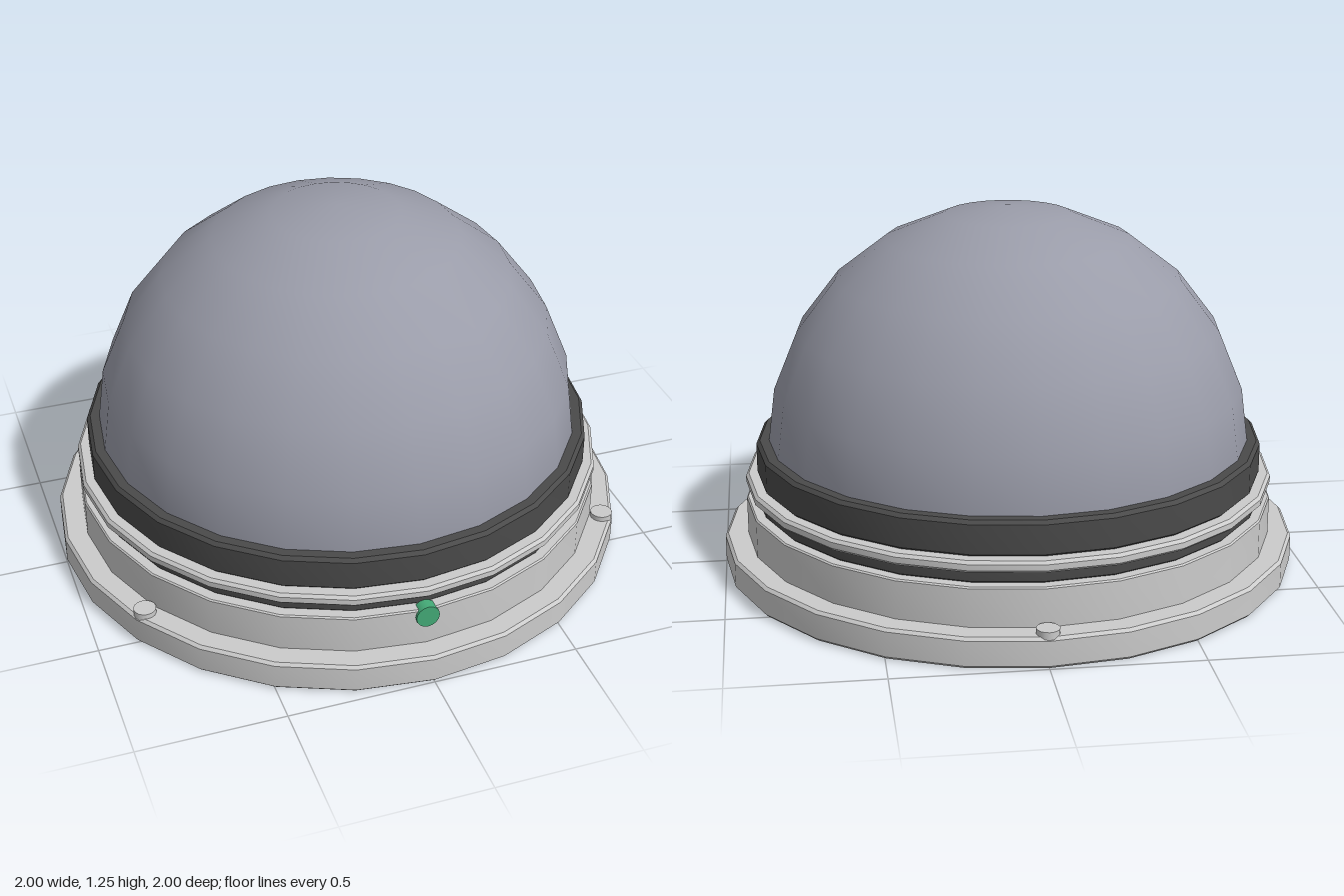
import * as THREE from 'three';
import { toCreasedNormals } from 'three/addons/utils/BufferGeometryUtils.js';

const SIDES = 24;
const mat = (color) => new THREE.MeshStandardMaterial({ color });

export function createModel() {
  const model = new THREE.Group();
  const grey = mat(0xcccccc);
  const rubber = mat(0x4a4a4a);
  const glass = mat(0x9a9ca9);
  const green = mat(0x44aa77);

  const add = (name, geometry, material, x = 0, y = 0, z = 0) => {
    const mesh = new THREE.Mesh(geometry, material);
    mesh.name = name;
    mesh.position.set(x, y, z);
    model.add(mesh);
    return mesh;
  };

  // Solid disc with softened rims, turned from a short profile
  const disc = (name, radius, y0, y1, bevel, material) => {
    const profile = [
      [0, y0], [radius - bevel, y0], [radius, y0 + bevel],
      [radius, y1 - bevel], [radius - bevel, y1], [0, y1],
    ].map(([r, y]) => new THREE.Vector2(r, y));
    add(name, toCreasedNormals(new THREE.LatheGeometry(profile, SIDES), 0.6), material);
  };

  // Stacked base
  disc('basePlate', 1.0, 0, 0.105, 0.01, grey);
  disc('body', 0.92, 0.1, 0.24, 0.005, grey);
  disc('lowerSeal', 0.885, 0.235, 0.29, 0.01, rubber);
  disc('flange', 0.92, 0.285, 0.325, 0.01, grey);
  disc('domeSeal', 0.88, 0.32, 0.443, 0.012, rubber);

  // Hemispherical cover
  add('dome', new THREE.SphereGeometry(0.84, SIDES, 6, 0, Math.PI * 2, 0, Math.PI / 2), glass, 0, 0.41, 0);

  // Three screws around the base plate
  for (let i = 0; i < 3; i++) {
    const a = Math.PI + (i * Math.PI * 2) / 3;
    add('screw' + (i + 1), new THREE.CylinderGeometry(0.038, 0.038, 0.03, 16), grey,
      0.96 * Math.sin(a), 0.108, 0.96 * Math.cos(a));
  }

  // Indicator lamp on the front
  const lamp = add('indicatorLamp', new THREE.CylinderGeometry(0.04, 0.04, 0.04, 16), green, 0, 0.213, 0.905);
  lamp.rotation.x = Math.PI / 2;

  return model;
}
